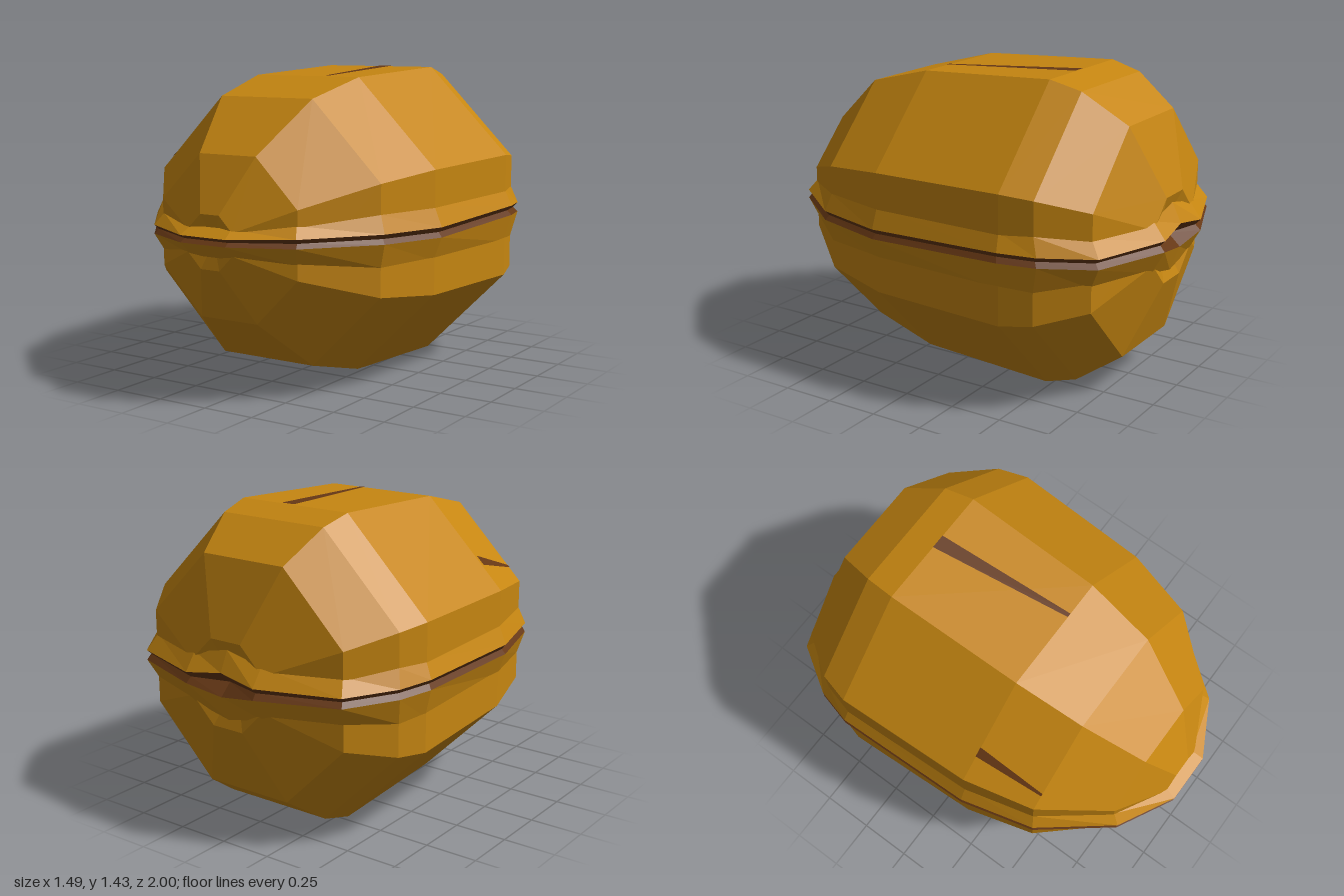
import * as THREE from 'three';

const CY = 0.715; // height of the shell's long axis

// Skin between rows of points; rows run bottom to top and loop anticlockwise from above
function loopSkin(rows) {
  const n = rows[0].length;
  const index = [];
  for (let j = 0; j < rows.length - 1; j++) {
    for (let i = 0; i < n; i++) {
      const k = (i + 1) % n;
      const a = j * n + i, b = j * n + k, c = b + n, d = a + n;
      index.push(a, b, d, b, c, d);
    }
  }
  const g = new THREE.BufferGeometry();
  g.setAttribute('position', new THREE.Float32BufferAttribute(rows.flat(2), 3));
  g.setIndex(index);
  g.computeVertexNormals();
  return g;
}

export function createModel() {
  const shellMat = new THREE.MeshStandardMaterial({ color: 0xc68611, flatShading: true });
  shellMat.name = 'ochreShell';
  const seamMat = new THREE.MeshStandardMaterial({ color: 0x653714, flatShading: true, side: THREE.DoubleSide });
  seamMat.name = 'darkBrown';

  const model = new THREE.Group();
  const add = (name, geometry, material) => {
    const mesh = new THREE.Mesh(geometry, material);
    mesh.name = name;
    model.add(mesh);
  };

  // Eight-sided shell along z: [apothem, z], with dented ends
  const profile = [
    [0, -0.88], [0.2, -0.95], [0.535, -0.825], [0.675, -0.62], [0.715, -0.47],
    [0.685, 0.2], [0.6, 0.53], [0.365, 0.82], [0.12, 0.95], [0, 0.92],
  ];
  const body = new THREE.LatheGeometry(
    profile.map(([r, z]) => new THREE.Vector2(r / Math.cos(Math.PI / 8), z)), 8, Math.PI / 8);
  body.rotateX(Math.PI / 2).translate(0, CY, 0);
  add('shellBody', body, shellMat);

  // Rim stations: lip x, lip z, root x, root z, root height, lip wave, lip half gap
  const side = [
    [0.12, 1.0, 0.11, 0.94, 0.065, 0, 0.016],
    [0.385, 0.86, 0.36, 0.82, 0.085, 0, 0.02],
    [0.63, 0.55, 0.6, 0.53, 0.115, 0, 0.022],
    [0.72, 0.2, 0.68, 0.2, 0.125, -0.008, 0.023],
    [0.745, -0.48, 0.71, -0.47, 0.13, 0.012, 0.023],
    [0.7, -0.65, 0.675, -0.62, 0.125, 0.007, 0.023],
    [0.56, -0.87, 0.53, -0.82, 0.11, 0, 0.023],
    [0.19, -1.0, 0.19, -0.94, 0.12, 0, 0.026],
  ];
  const mirrored = side.map(([x, z, rx, ...rest]) => [-x, z, -rx, ...rest]).reverse();
  const backNotch = [0, -0.985, 0, -0.94, 0.16, 0, 0.055];
  const stations = [...side, backNotch, ...mirrored];

  const seamY = CY + 0.013;
  const root = (s) => stations.map(([, , x, z, h]) => [x, CY + s * h, z]);
  const lip = (s) => stations.map(([x, z, , , , w, gap]) => [x, seamY + w + s * gap, z]);
  const groove = stations.map(([x, z, , , , w, gap]) => {
    const inset = 1 - (gap > 0.05 ? 0.06 : 0.025);
    return [x * inset, seamY + w, z * inset];
  });

  // Two raised lips with the dark seam between them
  add('lowerRim', loopSkin([root(-1), lip(-1)]), shellMat);
  add('upperRim', loopSkin([lip(1), root(1)]), shellMat);
  add('seamGroove', loopSkin([lip(-1), groove, lip(1)]), seamMat);

  // Thin tapered cracks lying just proud of the shell facets
  const cracks = {
    topCrack: [[0, 1.433, -0.47], [0.07, 1.433, -0.47], [0.115, 1.403, 0.2], [0.095, 1.403, 0.2]],
    sideCrack: [[-0.587, 1.109, 0.2], [-0.549, 1.147, 0.2], [-0.533, 1.034, 0.53], [-0.543, 1.024, 0.53]],
    bottomCrack: [[0.04, -0.002, -0.47], [0.1, -0.002, -0.47], [0.08, 0.027, 0.2], [0.06, 0.027, 0.2]],
  };
  for (const [name, corners] of Object.entries(cracks)) {
    const g = new THREE.BufferGeometry();
    g.setAttribute('position', new THREE.Float32BufferAttribute(corners.flat(), 3));
    g.setIndex(name === 'bottomCrack' ? [0, 1, 2, 0, 2, 3] : [0, 2, 1, 0, 3, 2]);
    g.computeVertexNormals();
    add(name, g, seamMat);
  }

  return model;
}
